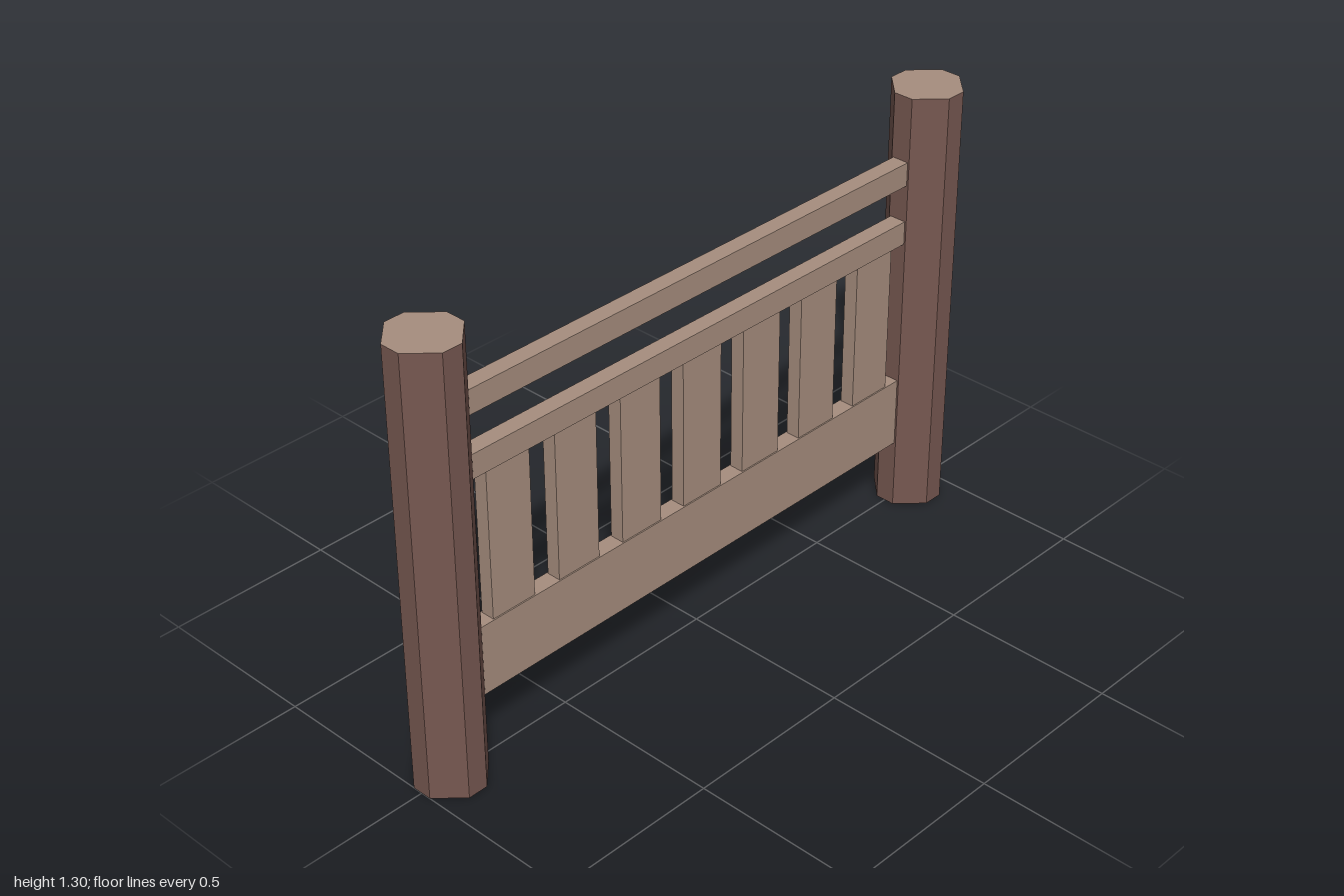
import * as THREE from 'three';

export function createModel() {
  const group = new THREE.Group();
  const bark = new THREE.MeshStandardMaterial({ color: 0x765750 });
  bark.name = 'dark brown bark';
  const wood = new THREE.MeshStandardMaterial({ color: 0xa68d7e });
  wood.name = 'light brown wood';

  // Eight-sided posts with light cut ends
  const r = 0.1, c = 0.03;
  const outline = new THREE.Shape(
    [[r, -c], [r, c], [c, r], [-c, r], [-r, c], [-r, -c], [-c, -r], [c, -r]]
      .map(([x, y]) => new THREE.Vector2(x, y))
  );
  const postGeometry = new THREE.ExtrudeGeometry(outline, { depth: 1.3, bevelEnabled: false });
  postGeometry.rotateX(-Math.PI / 2);
  for (const side of [1, -1]) {
    const post = new THREE.Mesh(postGeometry, [wood, bark]);
    post.name = side > 0 ? 'frontPost' : 'backPost';
    post.position.z = 0.9 * side;
    group.add(post);
  }

  // Boards given by thickness, vertical extent, length and centre along z
  function board(name, thickness, y0, y1, length, z = 0) {
    const mesh = new THREE.Mesh(new THREE.BoxGeometry(thickness, y1 - y0, length), wood);
    mesh.name = name;
    mesh.position.set(0, (y0 + y1) / 2, z);
    group.add(mesh);
  }

  // Rails between the posts
  board('handRail', 0.05, 1.04, 1.11, 1.6);
  board('upperRail', 0.05, 0.86, 0.93, 1.6);
  board('lowerBoard', 0.05, 0.21, 0.42, 1.6);

  // Seven slightly recessed slats
  for (let i = -3; i <= 3; i++) {
    board(`slat${i + 4}`, 0.042, 0.42, 0.86, 0.142, i * 0.227);
  }
  return group;
}
